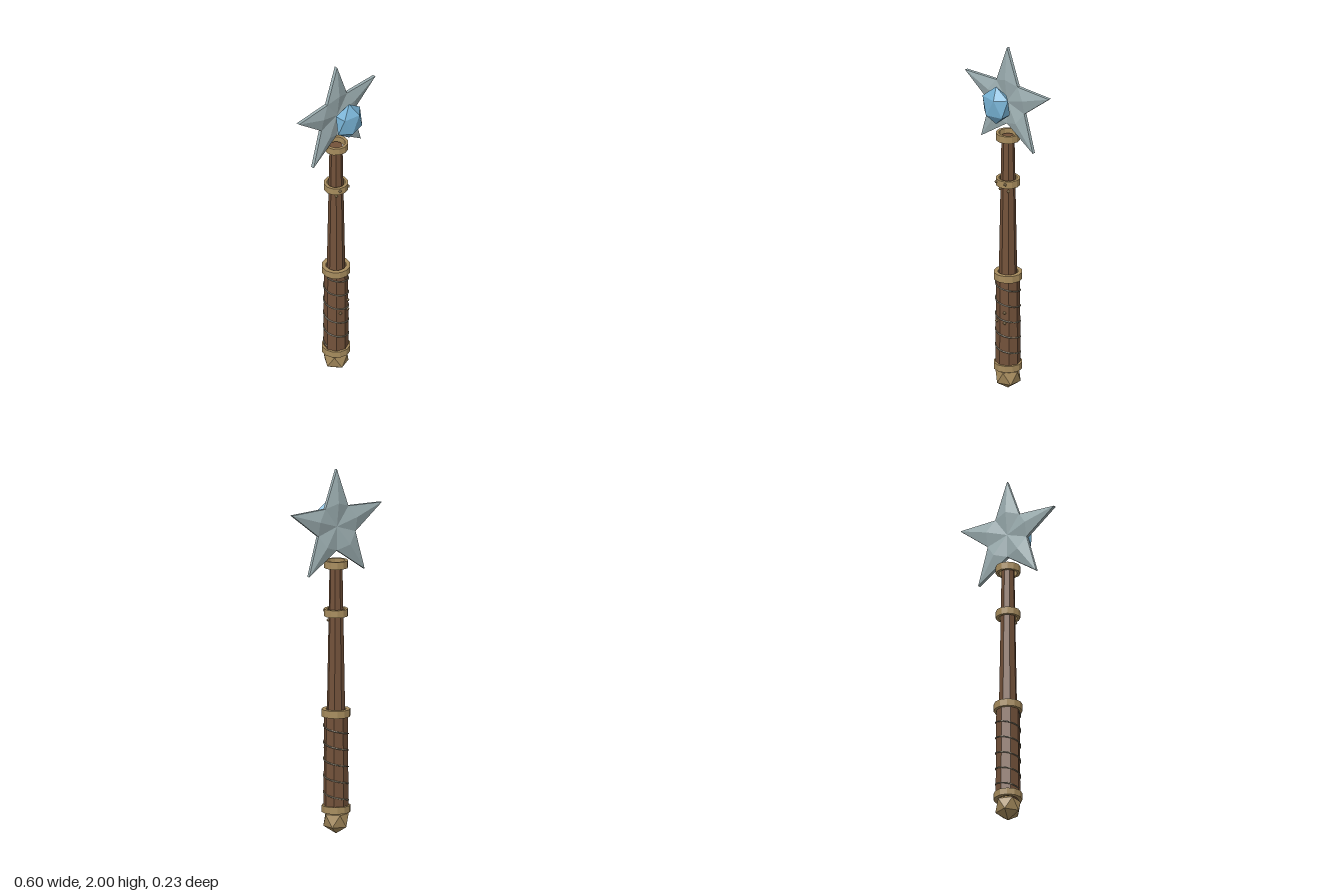
import * as THREE from 'three';

const AXIS_Z = -0.036;

const mat = (name, color) => {
  const m = new THREE.MeshStandardMaterial({ color, flatShading: true });
  m.name = name;
  return m;
};

function fromTriangles(points) {
  const g = new THREE.BufferGeometry();
  g.setAttribute('position', new THREE.Float32BufferAttribute(points.flat(), 3));
  g.computeVertexNormals();
  return g;
}

// Icosahedron standing on a pole, stretched to the given radii
function poleIcosahedron(rx, ry, rz) {
  const ring = (i, y, turn) => {
    const a = (i + turn) * Math.PI * 0.4;
    return [rx * Math.cos(a), y, rz * Math.sin(a)];
  };
  const top = [0, ry, 0], bottom = [0, -ry, 0], h = ry * 0.447, tris = [];
  for (let i = 0; i < 5; i++) {
    const u0 = ring(i, h, 0), u1 = ring(i + 1, h, 0);
    const l0 = ring(i, -h, 0.5), l1 = ring(i + 1, -h, 0.5);
    tris.push(top, u1, u0, u0, u1, l0, l0, u1, l1, bottom, l0, l1);
  }
  return fromTriangles(tris);
}

// Five-pointed star: thin rim, a raised ridge on each arm, sunken centre
function starGeometry(outer, inner, rim, ridge) {
  const at = (r, a, z) => [r * Math.cos(a), r * Math.sin(a), z];
  const tris = [];
  for (let i = 0; i < 5; i++) {
    const a = Math.PI / 2 + i * Math.PI * 0.4, d = Math.PI / 5;
    for (const s of [1, -1]) {
      const T = at(outer, a, s * rim), R = at(inner, a, s * ridge), C = [0, 0, s * rim];
      const L = at(inner, a + d, s * rim), N = at(inner, a - d, s * rim);
      for (const [p, q, r] of [[T, L, R], [R, L, C], [T, R, N], [R, C, N]]) {
        tris.push(...(s > 0 ? [p, q, r] : [p, r, q]));
      }
    }
    const edge = [[inner, a - d], [outer, a], [inner, a + d]];
    for (let k = 0; k < 2; k++) {
      const [A, B] = [edge[k], edge[k + 1]];
      const af = at(...A, rim), ab = at(...A, -rim), bf = at(...B, rim), bb = at(...B, -rim);
      tris.push(af, ab, bb, af, bb, bf);
    }
  }
  return fromTriangles(tris);
}

export function createModel() {
  const wood = mat('wood', 0x73523a);
  const brass = mat('brass', 0xa88d5e);
  const silver = mat('silver', 0x9dafb2);
  const crystal = mat('blue crystal', 0x76b0d2);
  const wire = mat('wire', 0x87806c);

  const model = new THREE.Group();
  model.name = 'starWand';
  const add = (name, geometry, material, x, y, z) => {
    const m = new THREE.Mesh(geometry, material);
    m.name = name;
    m.position.set(x, y, z);
    model.add(m);
    return m;
  };

  // Wooden shaft and thicker grip
  add('shaft', new THREE.CylinderGeometry(0.035, 0.05, 0.84, 8), wood, 0, 1.06, AXIS_Z);
  add('grip', new THREE.CylinderGeometry(0.064, 0.068, 0.54, 8), wood, 0, 0.4, AXIS_Z);

  // Hollow brass collars: bottom, top, inner radius, outer radius
  const collars = [
    ['pommelCollar', 0.12, 0.157, 0.055, 0.078],
    ['gripCollar', 0.645, 0.685, 0.055, 0.078],
    ['middleCollar', 1.195, 1.235, 0.05, 0.066],
    ['topCollar', 1.46, 1.5, 0.05, 0.066],
  ];
  for (const [name, lo, hi, ri, ro] of collars) {
    const profile = [[ri, lo], [ro, lo], [ro, hi], [ri, hi], [ri, lo]];
    const g = new THREE.LatheGeometry(profile.map(p => new THREE.Vector2(...p)), 12);
    add(name, g, brass, 0, 0, AXIS_Z);
  }

  // Faceted pommel
  add('pommel', poleIcosahedron(0.068, 0.076, 0.068), brass, 0, 0.076, AXIS_Z);

  // Wire wound down the grip
  const coil = [];
  const turns = 5, steps = turns * 16;
  for (let i = 0; i <= steps; i++) {
    const a = (i / 16) * Math.PI * 2;
    coil.push(new THREE.Vector3(0.067 * Math.cos(a), 0.63 - 0.455 * i / steps, -0.067 * Math.sin(a)));
  }
  // The winding descends from the model's right, across the front, to its left
  for (const p of coil) p.z = -p.z, p.x = -p.x, p.z = p.z;
  for (const p of coil) p.z = Math.abs(p.z) < 1e-9 ? 0 : p.z;
  const path = new THREE.CatmullRomCurve3(coil.map(p => new THREE.Vector3(p.x, p.y, p.z)));
  add('gripWire', new THREE.TubeGeometry(path, 120, 0.004, 5), wire, 0, 0, AXIS_Z);

  // Small studs on the front of the collar, shaft and grip
  const stud = new THREE.IcosahedronGeometry(0.009, 0);
  const studs = [
    [0.032, 1.22, 0.06], [-0.032, 1.22, 0.06], [0.03, 1.17, 0.03], [-0.03, 1.17, 0.03],
    [0.028, 0.465, 0.06], [0.028, 0.405, 0.06], [-0.028, 0.405, 0.06],
  ];
  for (const [x, y, z] of studs) add('stud', stud, brass, x, y, AXIS_Z + z);

  // Star head with the crystal floating before it
  add('star', starGeometry(0.315, 0.13, 0.009, 0.026), silver, 0, 1.685, AXIS_Z);
  add('crystal', poleIcosahedron(0.085, 0.11, 0.055), crystal, 0, 1.69, 0.06);

  return model;
}
